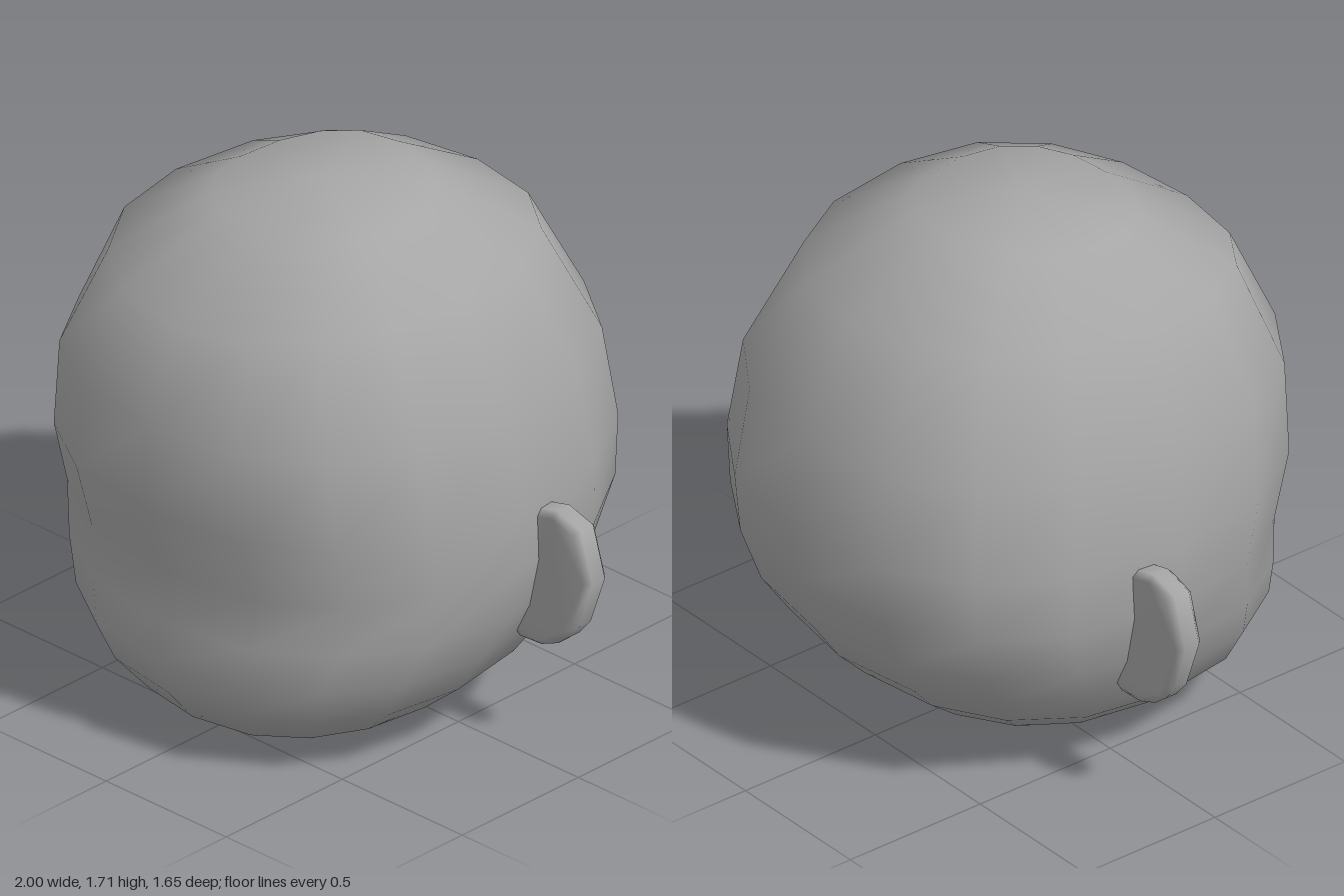
import * as THREE from 'three';
import { mergeVertices } from 'three/addons/utils/BufferGeometryUtils.js';

const SEGMENTS = 16;
const SKIN = 0xa6a6a6;

// Tilted rings from crown to neck: [front z, front y, back z, back y, side x, side y]
const RINGS = [
  [0.07, 1.715, 0.07, 1.715, 0, 1.715],
  [0.39, 1.645, -0.26, 1.695, 0.32, 1.66],
  [0.70, 1.44, -0.60, 1.50, 0.60, 1.505],
  [0.83, 1.15, -0.78, 1.16, 0.76, 1.15],
  [0.83, 0.86, -0.825, 0.86, 0.80, 0.85],
  [0.76, 0.63, -0.80, 0.66, 0.80, 0.65],
  [0.77, 0.46, -0.73, 0.47, 0.765, 0.48],
  [0.78, 0.32, -0.64, 0.34, 0.70, 0.34],
  [0.73, 0.20, -0.54, 0.24, 0.62, 0.21],
  [0.63, 0.08, -0.40, 0.13, 0.50, 0.11],
  [0.40, 0.03, -0.21, 0.045, 0.33, 0.04],
  [0.17, 0.005, -0.04, 0.02, 0.12, 0.01],
];

// Slightly squared circle
const squared = (v) => Math.sign(v) * Math.pow(Math.abs(v), 2 / 2.25);

function smooth(geo) {
  const merged = mergeVertices(geo, 1e-4);
  merged.computeVertexNormals();
  return merged;
}

function headGeometry() {
  const positions = [];
  const index = [];
  RINGS.forEach(([zf, yf, zb, yb, xs, ys], i) => {
    const mid = (zf + zb) / 2 + (i ? 0.03 : 0);
    for (let j = 0; j < SEGMENTS; j++) {
      const a = (j / SEGMENTS) * Math.PI * 2;
      const c = Math.cos(a);
      const zEnd = c > 0 ? zf : zb;
      const yEnd = c > 0 ? yf : yb;
      positions.push(
        xs * squared(Math.sin(a)),
        ys + (yEnd - ys) * c * c,
        mid + (zEnd - mid) * squared(Math.abs(c)),
      );
      if (i < RINGS.length - 1) {
        const k = (j + 1) % SEGMENTS;
        const t = i * SEGMENTS;
        const b = t + SEGMENTS;
        if (i > 0) index.push(t + j, b + j, t + k);
        index.push(t + k, b + j, b + k);
      }
    }
  });
  const geo = new THREE.BufferGeometry();
  geo.setAttribute('position', new THREE.Float32BufferAttribute(positions, 3));
  geo.setIndex(index);
  return smooth(geo);
}

function earGeometry() {
  const outline = [
    [0.68, 0.80], [0.79, 0.82], [0.85, 0.835], [0.95, 0.805], [1.0, 0.64],
    [0.945, 0.475], [0.90, 0.42], [0.85, 0.38], [0.78, 0.35], [0.69, 0.345], [0.62, 0.40],
  ].map(([x, y]) => new THREE.Vector2(x, y));
  const geo = new THREE.ExtrudeGeometry(new THREE.Shape(outline), {
    depth: 0.054, bevelThickness: 0.02, bevelSize: 0.02, bevelOffset: -0.02, bevelSegments: 1,
  });
  geo.translate(0, 0, -0.027);
  // Thin the plate towards the lobe
  const p = geo.attributes.position;
  for (let i = 0; i < p.count; i++) {
    const up = THREE.MathUtils.clamp((p.getY(i) - 0.35) / 0.3, 0, 1);
    p.setZ(i, p.getZ(i) * (0.7 + 0.3 * up) - 0.088);
  }
  geo.deleteAttribute('normal');
  geo.deleteAttribute('uv');
  return smooth(geo);
}

export function createModel() {
  const group = new THREE.Group();
  group.name = 'headWithEars';

  // Head shell, open at the neck
  const head = new THREE.Mesh(
    headGeometry(),
    new THREE.MeshStandardMaterial({ color: SKIN, side: THREE.DoubleSide }),
  );
  head.name = 'head';
  group.add(head);

  // Mirrored ears
  const ear = earGeometry();
  const earMaterial = new THREE.MeshStandardMaterial({ color: SKIN });
  for (const side of [1, -1]) {
    const mesh = new THREE.Mesh(ear, earMaterial);
    mesh.name = side > 0 ? 'leftEar' : 'rightEar';
    mesh.scale.x = side;
    group.add(mesh);
  }
  return group;
}
